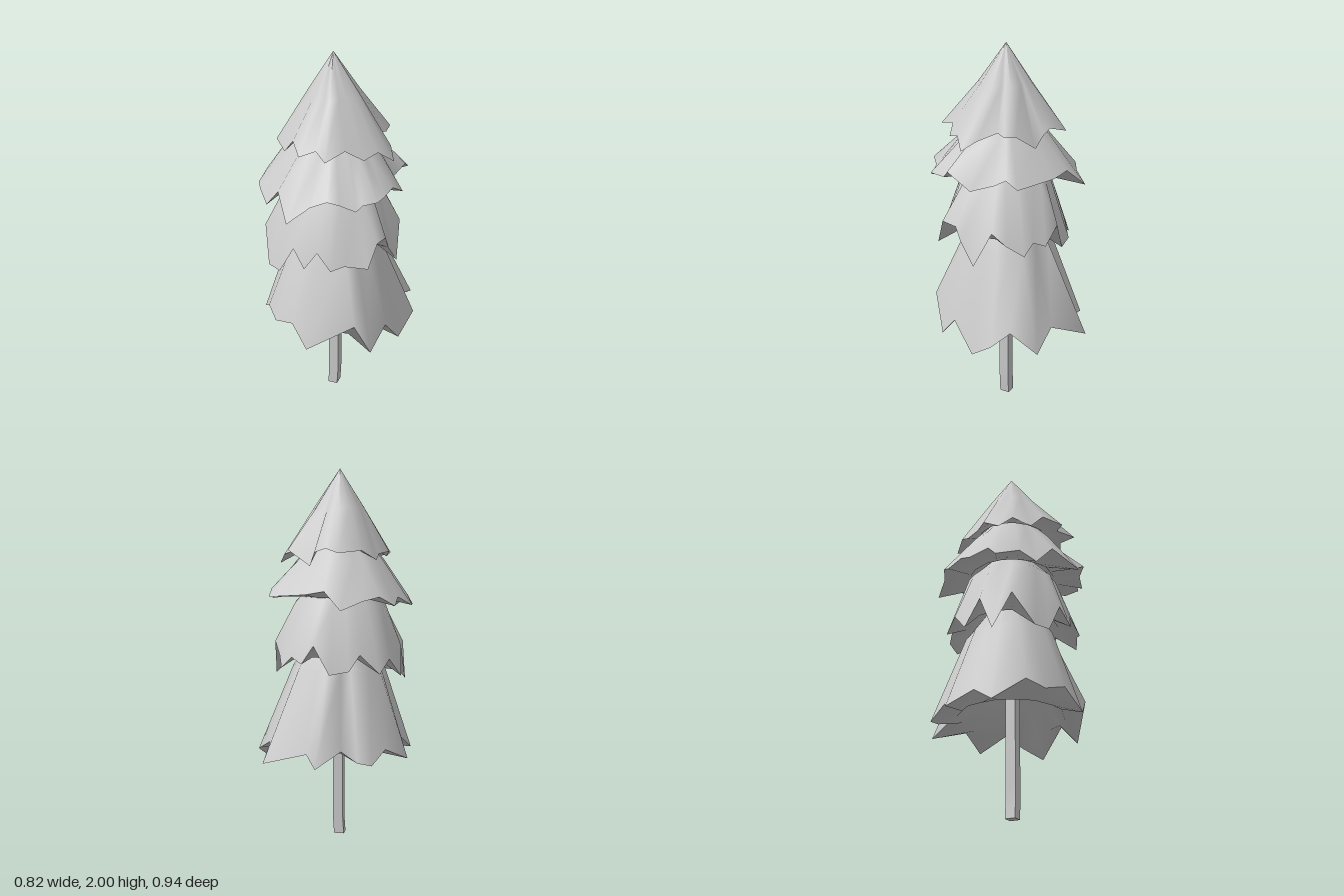
import * as THREE from 'three';

const CX = -0.015, CZ = 0.035; // trunk axis

// Ragged hems, [x, y, z] from the back round by the left side.
const topHem = [
  [-0.065, 1.57, -0.29], [0.01, 1.59, -0.235], [0.07, 1.57, -0.23], [0.1, 1.5, -0.2],
  [0.225, 1.58, -0.155], [0.225, 1.57, -0.09], [0.195, 1.58, -0.035], [0.29, 1.55, 0.03],
  [0.33, 1.5, 0.1], [0.265, 1.56, 0.16], [0.22, 1.54, 0.235], [0.135, 1.59, 0.27],
  [0.075, 1.565, 0.38], [0, 1.585, 0.31], [-0.065, 1.57, 0.37], [-0.13, 1.61, 0.285],
  [-0.195, 1.53, 0.245], [-0.27, 1.56, 0.17], [-0.26, 1.54, 0.08], [-0.285, 1.57, 0],
  [-0.24, 1.56, -0.06], [-0.235, 1.53, -0.125], [-0.17, 1.58, -0.2],
];
const upperHem = [
  [-0.095, 1.29, -0.39], [0, 1.38, -0.33], [0.105, 1.36, -0.31], [0.315, 1.34, -0.215],
  [0.315, 1.38, -0.15], [0.275, 1.33, -0.06], [0.36, 1.31, 0.03], [0.35, 1.39, 0.17],
  [0.32, 1.35, 0.21], [0.315, 1.36, 0.295], [0.245, 1.34, 0.32], [0.225, 1.32, 0.355],
  [0.145, 1.35, 0.375], [0.1, 1.38, 0.42], [0, 1.32, 0.39], [-0.095, 1.25, 0.47],
  [-0.185, 1.36, 0.36], [-0.275, 1.25, 0.31], [-0.34, 1.3, 0.245], [-0.4, 1.28, 0.135],
  [-0.375, 1.34, 0.08], [-0.41, 1.29, -0.01], [-0.345, 1.34, -0.1], [-0.34, 1.3, -0.18],
  [-0.27, 1.35, -0.25], [-0.19, 1.33, -0.295],
];
const lowerHem = [
  [-0.02, 0.95, -0.3], [0.06, 1.1, -0.31], [0.13, 1, -0.28], [0.19, 1.03, -0.24],
  [0.25, 0.97, -0.22], [0.28, 1.02, -0.13], [0.32, 1.09, -0.07], [0.34, 0.9, 0.03],
  [0.32, 1.02, 0.12], [0.315, 1.09, 0.15], [0.3, 1.1, 0.24], [0.27, 0.97, 0.29],
  [0.16, 0.99, 0.34], [0.1, 0.97, 0.38], [0.02, 1.05, 0.36], [-0.04, 0.96, 0.39],
  [-0.11, 1.05, 0.36], [-0.2, 0.89, 0.34], [-0.28, 0.89, 0.3], [-0.34, 1.07, 0.2],
  [-0.365, 0.88, 0.1], [-0.35, 1.07, 0.02], [-0.36, 0.92, -0.06], [-0.31, 1.02, -0.15],
  [-0.27, 0.95, -0.22], [-0.17, 1.05, -0.24], [-0.12, 0.97, -0.29],
];
const bottomHem = [
  [0.02, 0.5, -0.47], [0.1, 0.53, -0.305], [0.325, 0.48, -0.34], [0.325, 0.56, -0.18],
  [0.408, 0.5, -0.11], [0.367, 0.405, 0.03], [0.33, 0.56, 0.16], [0.285, 0.44, 0.27],
  [0.22, 0.64, 0.35], [-0.02, 0.49, 0.43], [-0.12, 0.6, 0.38], [-0.24, 0.56, 0.33],
  [-0.31, 0.6, 0.26], [-0.4, 0.49, 0.12], [-0.36, 0.57, 0], [-0.408, 0.49, -0.13],
  [-0.3, 0.55, -0.2], [-0.245, 0.49, -0.315], [-0.17, 0.5, -0.315], [-0.08, 0.55, -0.29],
];

// Skin a stack of closed rings that share one point count.
function loft(rings) {
  const n = rings[0].length, index = [];
  for (let r = 0; r < rings.length - 1; r++) {
    for (let i = 0; i < n; i++) {
      const a = r * n + i, b = r * n + (i + 1) % n;
      index.push(a, b, b + n, a, b + n, a + n);
    }
  }
  const geometry = new THREE.BufferGeometry();
  geometry.setAttribute('position', new THREE.Float32BufferAttribute(rings.flat(2), 3));
  geometry.setIndex(index);
  geometry.computeVertexNormals();
  return geometry;
}

// Ring following the hem's bearings; follow = how much of its raggedness is kept.
function ringFrom(hem, radius, y, follow) {
  const lengths = hem.map(([x, , z]) => Math.hypot(x - CX, z - CZ));
  const mean = lengths.reduce((s, l) => s + l, 0) / hem.length;
  return hem.map(([x, , z], i) => {
    const k = radius * (1 - follow + follow * lengths[i] / mean) / lengths[i];
    return [CX + (x - CX) * k, y, CZ + (z - CZ) * k];
  });
}

export function createModel() {
  const tree = new THREE.Group();
  tree.name = 'tree';
  const material = new THREE.MeshStandardMaterial({ color: 0xcccccc, side: THREE.DoubleSide });
  const add = (name, geometry, parent) => {
    const mesh = new THREE.Mesh(geometry, material);
    mesh.name = name;
    parent.add(mesh);
  };

  // Branch tiers: sloping skirt, ragged hem and hollow underside
  const tiers = [
    { name: 'topTier', hem: topHem, tip: 2, midR: 0.135, midY: 1.8, lipR: 0.19, lipY: 1.59 },
    { name: 'upperTier', hem: upperHem, tip: 1.8, midR: 0.23, midY: 1.53, lipR: 0.23, lipY: 1.335 },
    { name: 'lowerTier', hem: lowerHem, tip: 1.55, midR: 0.24, midY: 1.3, lipR: 0.25, lipY: 1.025 },
    { name: 'bottomTier', hem: bottomHem, tip: 1.3, midR: 0.24, midY: 0.96, lipR: 0.28, lipY: 0.525 },
  ];
  for (const { name, hem, tip, midR, midY, lipR, lipY } of tiers) {
    const tier = new THREE.Group();
    tier.name = name;
    add('skirt', loft([ringFrom(hem, 0.001, tip, 0), ringFrom(hem, midR, midY, 0.45), hem]), tier);
    add('underside', loft([
      hem, ringFrom(hem, lipR, lipY, 0.2),
      ringFrom(hem, lipR * 0.65, lipY + 0.13, 0), ringFrom(hem, 0.02, lipY + 0.21, 0),
    ]), tier);
    tree.add(tier);
  }

  // Square trunk, bending slightly aside at the foot
  const trunk = new THREE.BoxGeometry(0.055, 1.6, 0.055, 1, 32, 1);
  trunk.translate(CX + 0.007, 0.8, CZ);
  const p = trunk.attributes.position;
  for (let i = 0; i < p.count; i++) {
    const drop = Math.max(0, 0.15 - p.getY(i)) / 0.15;
    p.setX(i, p.getX(i) - 0.007 * drop * drop);
  }
  trunk.computeVertexNormals();
  add('trunk', trunk, tree);

  return tree;
}
